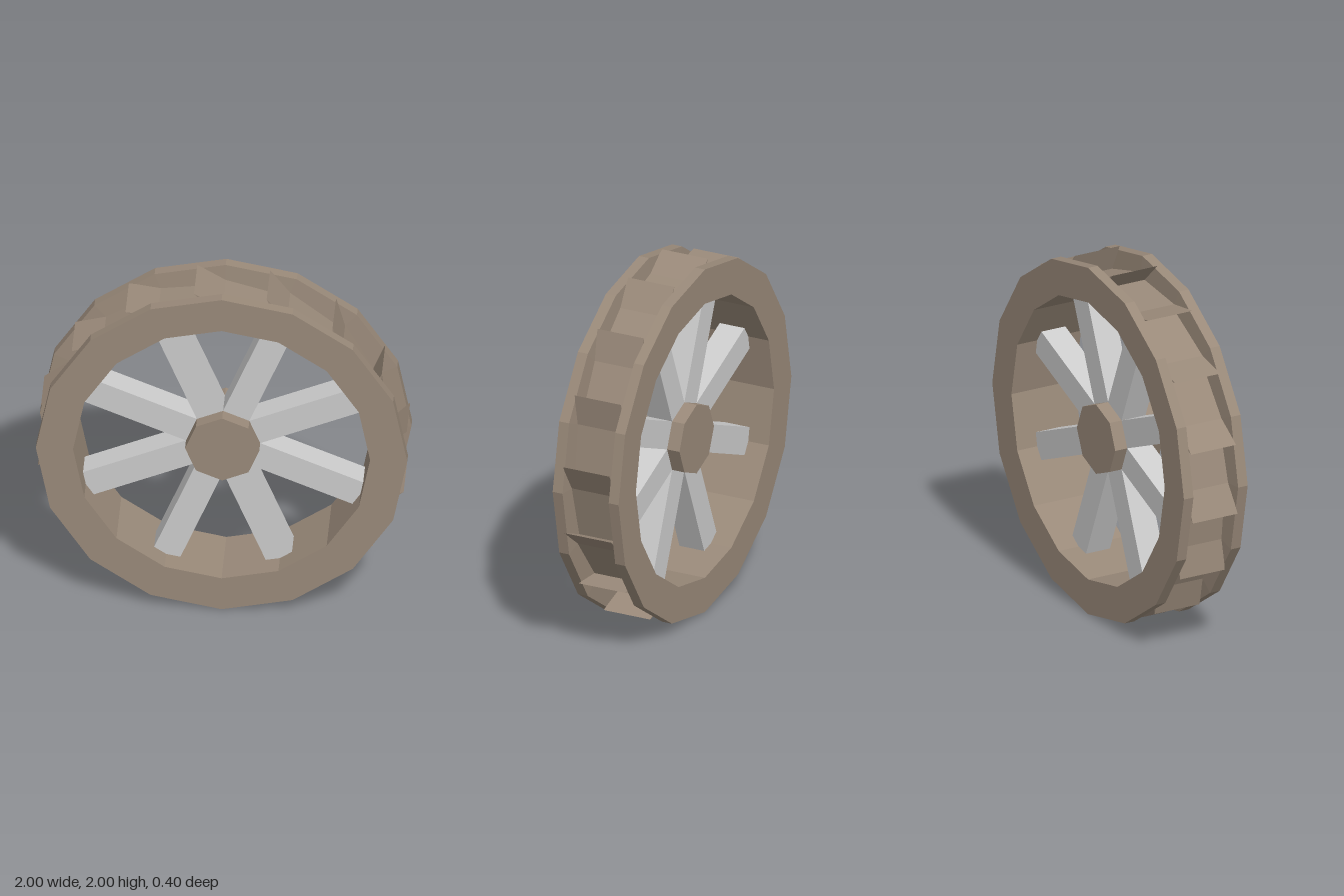
import * as THREE from 'three';

const SIDES = 16;
const STEP = (Math.PI * 2) / SIDES;
const polar = (r, a) => new THREE.Vector2(r * Math.cos(a), r * Math.sin(a));
const deg = THREE.MathUtils.degToRad;

export function createModel() {
  const wood = new THREE.MeshStandardMaterial({ color: 0x998979, flatShading: true });
  const grey = new THREE.MeshStandardMaterial({ color: 0xcccccc, flatShading: true });
  const model = new THREE.Group();
  model.name = 'wheel';

  const add = (name, geometry, material, parent = model) => {
    const mesh = new THREE.Mesh(geometry, material);
    mesh.name = name;
    parent.add(mesh);
    return mesh;
  };

  // Side rims: flat outside, inner wall slanting into the groove
  const rimProfile = [[0.8, 0.12], [1, 0.14], [1, 0.2], [0.8, 0.2], [0.8, 0.12]]
    .map(([r, h]) => new THREE.Vector2(r, h));
  const rimGeometry = new THREE.LatheGeometry(rimProfile, SIDES);
  for (const side of [1, -1]) {
    const rim = add(side > 0 ? 'frontRim' : 'backRim', rimGeometry, wood);
    rim.rotation.x = side * Math.PI / 2;
    rim.position.y = 1;
  }

  // Tread ring with undercut teeth leaning one way round
  const outline = [];
  const hole = [];
  for (let i = 0; i < SIDES; i++) {
    const a = i * STEP;
    outline.push(polar(0.91, a), polar(1.005, a + deg(8.75)), polar(0.88, a + deg(2.75)));
    hole.push(polar(0.8, a));
  }
  const treadShape = new THREE.Shape(outline);
  treadShape.holes.push(new THREE.Path(hole));
  const treadGeometry = new THREE.ExtrudeGeometry(treadShape, { depth: 0.28, bevelEnabled: false });
  treadGeometry.translate(0, 1, -0.14);
  add('toothedTread', treadGeometry, wood);

  // Octagonal hub
  const hubGeometry = new THREE.CylinderGeometry(0.2, 0.2, 0.3, 8);
  hubGeometry.rotateX(Math.PI / 2);
  add('hub', hubGeometry, wood).position.y = 1;

  // Square spokes, one on each hub face
  const spokes = new THREE.Group();
  spokes.name = 'spokes';
  spokes.position.y = 1;
  model.add(spokes);
  const spokeGeometry = new THREE.BoxGeometry(0.73, 0.153, 0.15);
  spokeGeometry.translate(0.465, 0, 0);
  for (let i = 0; i < 8; i++) {
    add('spoke', spokeGeometry, grey, spokes).rotation.z = (i + 0.5) * Math.PI / 4;
  }
  return model;
}
